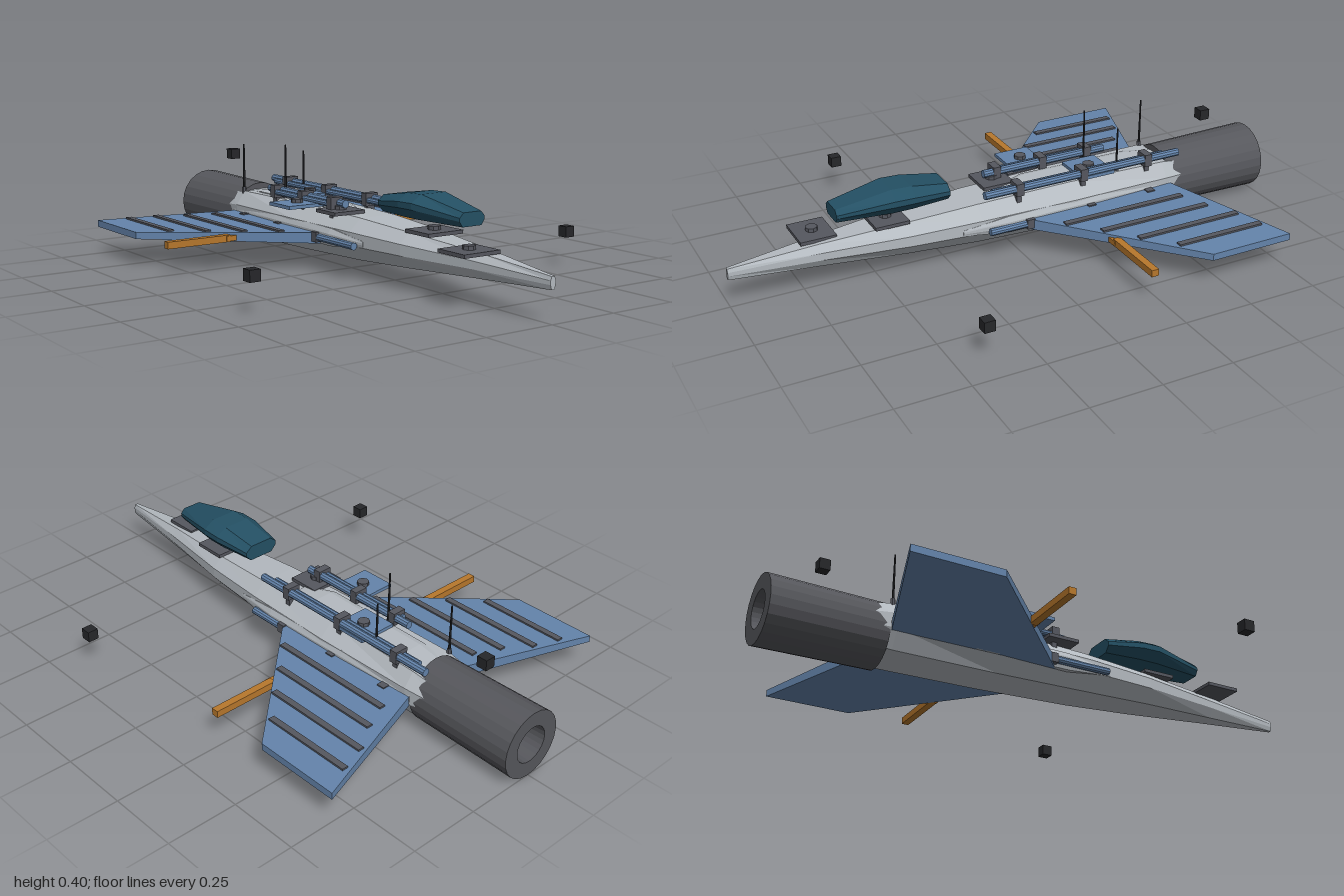
import * as THREE from 'three';

const mat = (name, color) => {
  const m = new THREE.MeshStandardMaterial({ color, flatShading: true });
  m.name = name;
  return m;
};

export function createModel() {
  const root = new THREE.Group();
  root.name = 'spacecraft';
  const hull = mat('hull grey', 0xb4bac0);
  const blue = mat('steel blue', 0x6484ab);
  const dark = mat('dark grey', 0x55575f);
  const engineGrey = mat('engine grey', 0x56575c);
  const teal = mat('canopy teal', 0x245064);
  const orange = mat('orange', 0xb8782c);
  const black = mat('black', 0x26272a);

  const add = (name, geo, material, x = 0, y = 0, z = 0) => {
    const m = new THREE.Mesh(geo, material);
    m.name = name;
    m.position.set(x, y, z);
    root.add(m);
    return m;
  };
  const box = (name, material, w, h, d, x, y, z) =>
    add(name, new THREE.BoxGeometry(w, h, d), material, x, y, z);
  // Round bar running along z between two ends
  const pipe = (name, material, r, x, y, z0, z1) =>
    add(name, new THREE.CylinderGeometry(r, r, Math.abs(z1 - z0), 10).rotateX(Math.PI / 2),
      material, x, y, (z0 + z1) / 2);

  // Skin over counter-clockwise rings, listed from front to back
  const loft = (rings) => {
    const n = rings[0].length, pos = [], idx = [];
    rings.forEach((r) => r.forEach((p) => pos.push(...p)));
    for (let s = 0; s < rings.length - 1; s++) {
      for (let i = 0; i < n; i++) {
        const a = s * n + i, b = s * n + (i + 1) % n;
        idx.push(a, a + n, b, b, a + n, b + n);
      }
    }
    const last = (rings.length - 1) * n;
    for (let i = 1; i < n - 1; i++) {
      idx.push(0, i, i + 1, last, last + i + 1, last + i);
    }
    const g = new THREE.BufferGeometry();
    g.setAttribute('position', new THREE.Float32BufferAttribute(pos, 3));
    g.setIndex(idx);
    const flat = g.toNonIndexed();
    flat.computeVertexNormals();
    return flat;
  };
  // Eight-sided section: half width, bottom, top, flat fractions below and above
  const section = (z, w, lo, hi, fLo = 0.6, fHi = 0.6, m0 = 0.38, m1 = 0.7) => {
    const a = lo + (hi - lo) * m0, b = lo + (hi - lo) * m1;
    return [[w, a, z], [w, b, z], [w * fHi, hi, z], [-w * fHi, hi, z],
      [-w, b, z], [-w, a, z], [-w * fLo, lo, z], [w * fLo, lo, z]];
  };

  // Fuselage
  add('fuselage', loft([
    section(1, 0.01, 0.106, 0.146),
    section(0.7, 0.05, 0.091, 0.172),
    section(0.4, 0.095, 0.075, 0.192),
    section(0.15, 0.115, 0.062, 0.205),
    section(-0.2, 0.125, 0.051, 0.212),
    section(-0.58, 0.117, 0.046, 0.21, 0.68, 0.7),
    section(-0.7, 0.1, 0.06, 0.192, 0.7, 0.75),
    section(-0.78, 0.085, 0.08, 0.17, 0.7, 0.75),
  ]), hull);

  // Raised spine
  add('spine', loft([
    section(0.02, 0.02, 0.2, 0.212),
    section(-0.08, 0.055, 0.2, 0.222),
    section(-0.5, 0.055, 0.2, 0.22),
    section(-0.62, 0.04, 0.195, 0.208),
  ]), hull);

  // Engine with hollow nozzle
  const profile = [[0, 0.6], [0.112, 0.6], [0.118, 1], [0.064, 1], [0.056, 0.86]]
    .map(([r, y]) => new THREE.Vector2(r, y));
  add('engine', new THREE.LatheGeometry(profile, 24).rotateX(-Math.PI / 2), engineGrey, 0, 0.121, 0);
  add('nozzleCore', new THREE.CircleGeometry(0.064, 24).rotateY(Math.PI), black, 0, 0.121, -0.88);

  // Canopy
  add('canopy', loft([
    section(0.64, 0.05, 0.24, 0.285, 0.75, 0.7, 0.4, 0.65),
    section(0.45, 0.09, 0.24, 0.32, 0.68, 0.55, 0.42, 0.68),
    section(0.38, 0.09, 0.24, 0.317, 0.68, 0.55, 0.42, 0.68),
    section(0.245, 0.068, 0.24, 0.295, 0.7, 0.65, 0.4, 0.65),
  ]), teal);

  for (const s of [1, -1]) {
    const side = s > 0 ? 'left' : 'right';
    // Wing, thinner toward the tip
    const shape = new THREE.Shape([[0.03, -0.075], [0.6, 0.45], [0.6, 0.76], [0.03, 0.57]]
      .map(([x, y]) => new THREE.Vector2(s * x, y)));
    const g = new THREE.ExtrudeGeometry(shape, { depth: 1, bevelEnabled: false }).rotateX(-Math.PI / 2);
    const p = g.attributes.position;
    for (let i = 0; i < p.count; i++) {
      const top = 0.141 - 0.028 * Math.abs(p.getX(i));
      p.setY(i, p.getY(i) > 0.5 ? top : 0.1);
    }
    g.computeVertexNormals();
    add(side + 'Wing', g, blue);

    // Wing ribs
    for (const [x, z0, z1] of [[0.215, -0.58, -0.11], [0.31, -0.62, -0.2],
      [0.405, -0.68, -0.285], [0.5, -0.71, -0.38]]) {
      box(side + 'WingRib', dark, 0.022, 0.012, z1 - z0, s * x, 0.141 - 0.028 * x, (z0 + z1) / 2);
    }

    // Orange spar and its tapered root
    box(side + 'Spar', orange, 0.24, 0.024, 0.026, s * 0.48, 0.113, -0.225);
    box(side + 'SparRoot', orange, 0.06, 0.018, 0.02, s * 0.345, 0.113, -0.218);

    // Side fairing ahead of the wing
    const c = s * 0.108;
    add(side + 'Fairing', loft([
      section(0.22, 0.004, 0.12, 0.14),
      section(0.05, 0.024, 0.1, 0.162),
      section(-0.3, 0.022, 0.1, 0.165),
      section(-0.6, 0.008, 0.11, 0.15),
    ]), hull, c);

    // Side pipe with clamps
    const front = s > 0 ? 0.13 : 0.2;
    pipe(side + 'SidePipe', blue, 0.013, s * 0.132, 0.123, front, front - 0.72);
    for (const z of [-0.02, -0.26, -0.5]) {
      box(side + 'SideClamp', dark, 0.03, 0.034, 0.03, s * 0.13, 0.124, z);
    }

    // Deck pipes with clamps
    const [z0, z1] = s > 0 ? [0.13, -0.64] : [0.06, -0.42];
    const px = s * 0.077;
    pipe(side + 'DeckPipe', blue, 0.014, px + 0.011, 0.24, z0, z1);
    pipe(side + 'DeckPipeInner', blue, 0.011, px - 0.013, 0.235, z0 - 0.04, z1 + 0.05);
    for (const z of s > 0 ? [0, -0.25, -0.51] : [0.01, -0.17, -0.35]) {
      box(side + 'DeckClamp', dark, 0.05, 0.045, 0.028, px, 0.238, z);
      box(side + 'DeckClampFoot', dark, 0.03, 0.04, 0.018, px, 0.205, z);
    }

    // Free-floating side marker
    box(side + 'Marker', black, 0.038, 0.038, 0.038, s * 0.64, 0.124, 0.395);
  }
  box('rearMarker', black, 0.038, 0.038, 0.038, 0, 0.325, -0.8);

  // Deck plates, each with a round cap
  for (const [name, m, x, y, z, w, d] of [
    ['nosePlate', dark, -0.056, 0.177, 0.693, 0.142, 0.125],
    ['canopyPlate', dark, 0.0, 0.198, 0.455, 0.14, 0.12],
    ['deckPlate', dark, -0.066, 0.213, 0.028, 0.124, 0.116],
    ['rightBluePlate', blue, -0.143, 0.224, -0.125, 0.145, 0.128],
    ['leftBluePlate', blue, 0.03, 0.226, -0.305, 0.142, 0.13],
  ]) {
    box(name, m, w, 0.012, d, x, y, z);
    add(name + 'Cap', new THREE.CylinderGeometry(0.021, 0.021, 0.014, 8), dark, x, y + 0.012, z);
  }

  // Antennas
  for (const [x, z, top] of [[-0.055, -0.335, 0.405], [0.065, -0.4, 0.37], [-0.08, -0.585, 0.387]]) {
    const h = top - 0.19;
    add('antenna', new THREE.CylinderGeometry(0.003, 0.005, h, 6), black, x, 0.19 + h / 2, z);
    add('antennaBase', new THREE.CylinderGeometry(0.008, 0.01, 0.03, 6), dark, x, 0.21, z);
  }
  return root;
}
